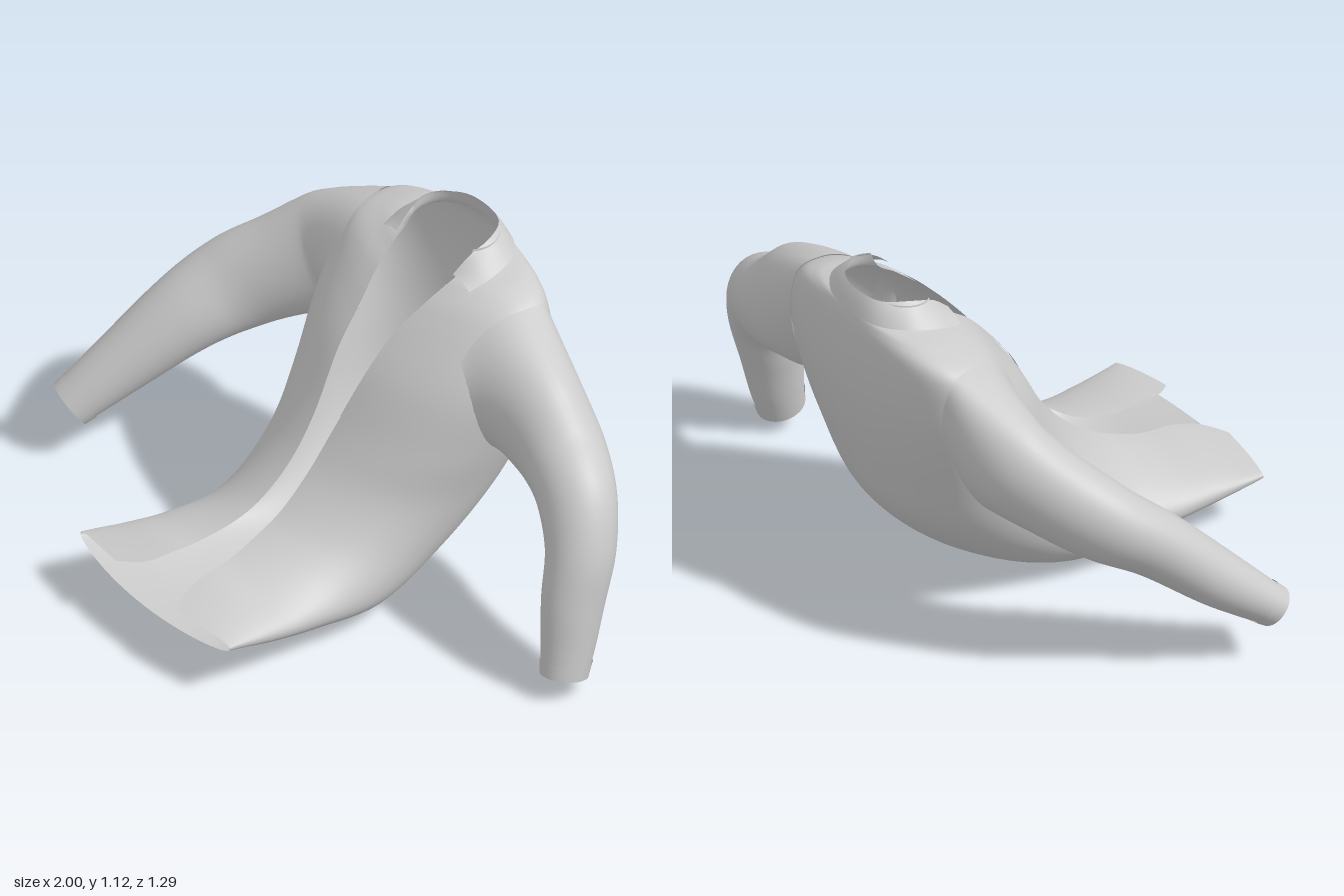
import * as THREE from 'three';

const cloth = new THREE.MeshStandardMaterial({ color: 0xcccccc, side: THREE.DoubleSide });

// Smooth surface from fn(u, v) => Vector3; "closed" welds the v seam.
function surface(name, fn, nu, nv, closed = false) {
  const pos = [], idx = [], cols = closed ? nv : nv + 1;
  for (let i = 0; i <= nu; i++)
    for (let j = 0; j < cols; j++) pos.push(...fn(i / nu, j / nv).toArray());
  for (let i = 0; i < nu; i++)
    for (let j = 0; j < nv; j++) {
      const a = i * cols + j, b = i * cols + (j + 1) % cols;
      idx.push(a, a + cols, b, b, a + cols, b + cols);
    }
  const g = new THREE.BufferGeometry();
  g.setAttribute('position', new THREE.Float32BufferAttribute(pos, 3));
  g.setIndex(idx);
  g.computeVertexNormals();
  const mesh = new THREE.Mesh(g, cloth);
  mesh.name = name;
  return mesh;
}

// Smooth interpolation along rows of numbers.
function sample(rows, u) {
  const t = u * (rows.length - 1), i = Math.min(Math.floor(t), rows.length - 2), f = t - i;
  const at = k => rows[Math.max(0, Math.min(rows.length - 1, k))];
  return rows[0].map((_, c) => {
    const a = at(i - 1)[c], b = at(i)[c], d = at(i + 1)[c], e = at(i + 2)[c];
    return b + 0.5 * f * (d - a + f * (2 * a - 5 * b + 4 * d - e + f * (3 * (b - d) + e - a)));
  });
}

// Torso sections, collar stand to hem: back z, back y, front z, front y, centre x, half width,
// opening right x, opening left x, side pull, back roundness (1 = elliptical, less = flatter)
const body = [
  [-0.598, 1.114, -0.38, 1.10, 0.045, 0.16, -0.10, 0.19, 0, 1],
  [-0.615, 1.06, -0.36, 1.035, 0.045, 0.18, -0.10, 0.185, 0, 0.9],
  [-0.624, 1.038, -0.335, 1.0, 0.04, 0.29, -0.09, 0.175, 0, 0.7],
  [-0.635, 0.985, -0.28, 0.95, 0.028, 0.39, -0.08, 0.155, 0, 0.55],
  [-0.645, 0.86, -0.2, 0.86, 0.038, 0.428, -0.06, 0.12, 0, 0.55],
  [-0.64, 0.72, -0.11, 0.74, 0.043, 0.432, -0.05, 0.10, 0, 0.6],
  [-0.61, 0.54, -0.01, 0.56, 0.038, 0.402, -0.03, 0.07, 0, 0.7],
  [-0.54, 0.33, 0.08, 0.43, 0.028, 0.367, -0.025, 0.06, 0, 0.85],
  [-0.35, 0.14, 0.18, 0.335, 0.025, 0.345, -0.03, 0.06, 0, 0.9],
  [-0.08, 0.0, 0.27, 0.285, 0.025, 0.34, -0.04, 0.06, 0, 0.9],
  [0.2, 0.022, 0.38, 0.25, 0.01, 0.347, -0.06, 0.07, 0, 0.9],
  [0.4, 0.06, 0.48, 0.242, 0, 0.355, -0.07, 0.08, 0.01, 0.85],
  [0.55, 0.115, 0.57, 0.225, -0.01, 0.365, -0.1, 0.1, 0.02, 0.75],
  [0.64, 0.145, 0.63, 0.213, -0.013, 0.37, -0.17, 0.14, 0.04, 0.7],
];

// Point on a torso section at an angle measured from the front, turning to the left.
function bodyPoint(r, angle, lift = 0) {
  const [bz, by, fz, fy, cx, w, , , pull, flat] = r;
  const s = Math.sin(angle), c = Math.cos(angle);
  const k = (c < 0 ? -((-c) ** flat) : c) / 2 + lift / Math.hypot(fz - bz, fy - by);
  return new THREE.Vector3(
    cx + w * s,
    (by + fy) / 2 + (fy - by) * k,
    (bz + fz) / 2 + (fz - bz) * k - pull * s * s);
}

// Angle of the front point at a given x.
const frontAngle = (r, x) => Math.asin(THREE.MathUtils.clamp((x - r[4]) / r[5], -0.95, 0.95));

function torso() {
  return surface('torso', (u, v) => {
    const r = sample(body, u);
    const a = frontAngle(r, r[7]), b = frontAngle(r, r[6]) + Math.PI * 2;
    return bodyPoint(r, a + (b - a) * v);
  }, 78, 120);
}

// Lapel: a tapering flap lying just over the front edge.
function lapel(name, side) {
  return surface(name, (u, v) => {
    const r = sample(body, 0.14 + u * 0.305);
    const edge = side > 0 ? r[7] : r[6];
    const x = edge + side * v * 0.11 * (1 - u) ** 0.8;
    return bodyPoint(r, frontAngle(r, x), 0.004 + 0.004 * (1 - u));
  }, 24, 6);
}

// Collar: the outer fall, from the top edge of the stand down to the shoulders.
function collar() {
  const cx = 0.045;
  const ring = pts => {
    const half = pts.map(p => new THREE.Vector3(...p));
    const other = half.slice(0, -1).reverse().map(p => new THREE.Vector3(2 * cx - p.x, p.y, p.z));
    return new THREE.CatmullRomCurve3([...half, ...other]);
  };
  const low = ring([[0.26, 1.015, -0.375], [0.268, 1.04, -0.46], [0.24, 1.055, -0.55], [0.16, 1.053, -0.613], [cx, 1.05, -0.628]]);
  const top = ring([[0.185, 1.04, -0.37], [0.192, 1.09, -0.43], [0.19, 1.115, -0.5], [0.135, 1.116, -0.58], [cx, 1.116, -0.6]]);
  return surface('collar', (u, v) => {
    const p = low.getPoint(u).lerp(top.getPoint(u), v);
    p.y += 0.005 * Math.sin(Math.PI * v);
    return p;
  }, 48, 6);
}

// Sleeve rows: centre x, y, z, radius in the front plane, radius in depth.
const leftArm = [
  [0.43, 0.77, -0.43, 0.2, 0.155], [0.55, 0.71, -0.42, 0.195, 0.14],
  [0.68, 0.64, -0.41, 0.153, 0.13], [0.8, 0.575, -0.37, 0.135, 0.118], [0.878, 0.45, -0.325, 0.108, 0.107],
  [0.902, 0.3, -0.28, 0.092, 0.1], [0.917, 0.16, -0.25, 0.078, 0.087], [0.928, 0.06, -0.225, 0.067, 0.074],
];
const rightArm = [
  [-0.4, 0.765, -0.465, 0.2, 0.135], [-0.5, 0.705, -0.43, 0.185, 0.13],
  [-0.62, 0.62, -0.34, 0.16, 0.122], [-0.72, 0.54, -0.24, 0.148, 0.115], [-0.79, 0.45, -0.11, 0.128, 0.103],
  [-0.87, 0.3, 0.06, 0.1, 0.088], [-0.933, 0.168, 0.22, 0.075, 0.062],
];

// Point on a sleeve; near the shoulder it flows into an armhole lying on the torso.
function sleevePoint(rows, u, angle, grow = 0) {
  const [x, y, z, ru, rv] = sample(rows, u);
  const a = sample(rows, Math.max(0, u - 0.03)), b = sample(rows, Math.min(1, u + 0.03));
  const T = new THREE.Vector3(b[0] - a[0], b[1] - a[1], b[2] - a[2]).normalize();
  const U = new THREE.Vector3(0, 0, 1).cross(T).normalize();
  const V = T.clone().cross(U);
  const p = new THREE.Vector3(x, y, z)
    .addScaledVector(U, (ru + grow) * Math.cos(angle))
    .addScaledVector(V, (rv + grow) * Math.sin(angle));
  const side = Math.sign(x);
  const row = sample(body, (4.3 - side * 1.7 * Math.cos(angle)) / (body.length - 1));
  const hole = bodyPoint(row, side * (Math.PI / 2 - 0.12 - 0.65 * Math.sin(angle)));
  return hole.lerp(p, THREE.MathUtils.smoothstep(u, -0.04, 0.18));
}

function sleeve(name, rows, cuffStart) {
  const group = new THREE.Group();
  group.name = name;
  group.add(surface(name + 'Tube', (u, v) => sleevePoint(rows, u, v * Math.PI * 2), 60, 40, true));
  // Cuff band, just proud of the sleeve end
  group.add(surface(name + 'Cuff', (u, v) =>
    sleevePoint(rows, cuffStart + u * (1 - cuffStart), v * Math.PI * 2, 0.003), 4, 40, true));
  return group;
}

export function createModel() {
  const jacket = new THREE.Group();
  jacket.name = 'jacket';
  jacket.add(
    torso(), collar(),
    lapel('leftLapel', 1), lapel('rightLapel', -1),
    sleeve('leftSleeve', leftArm, 0.92), sleeve('rightSleeve', rightArm, 0.955));
  return jacket;
}
